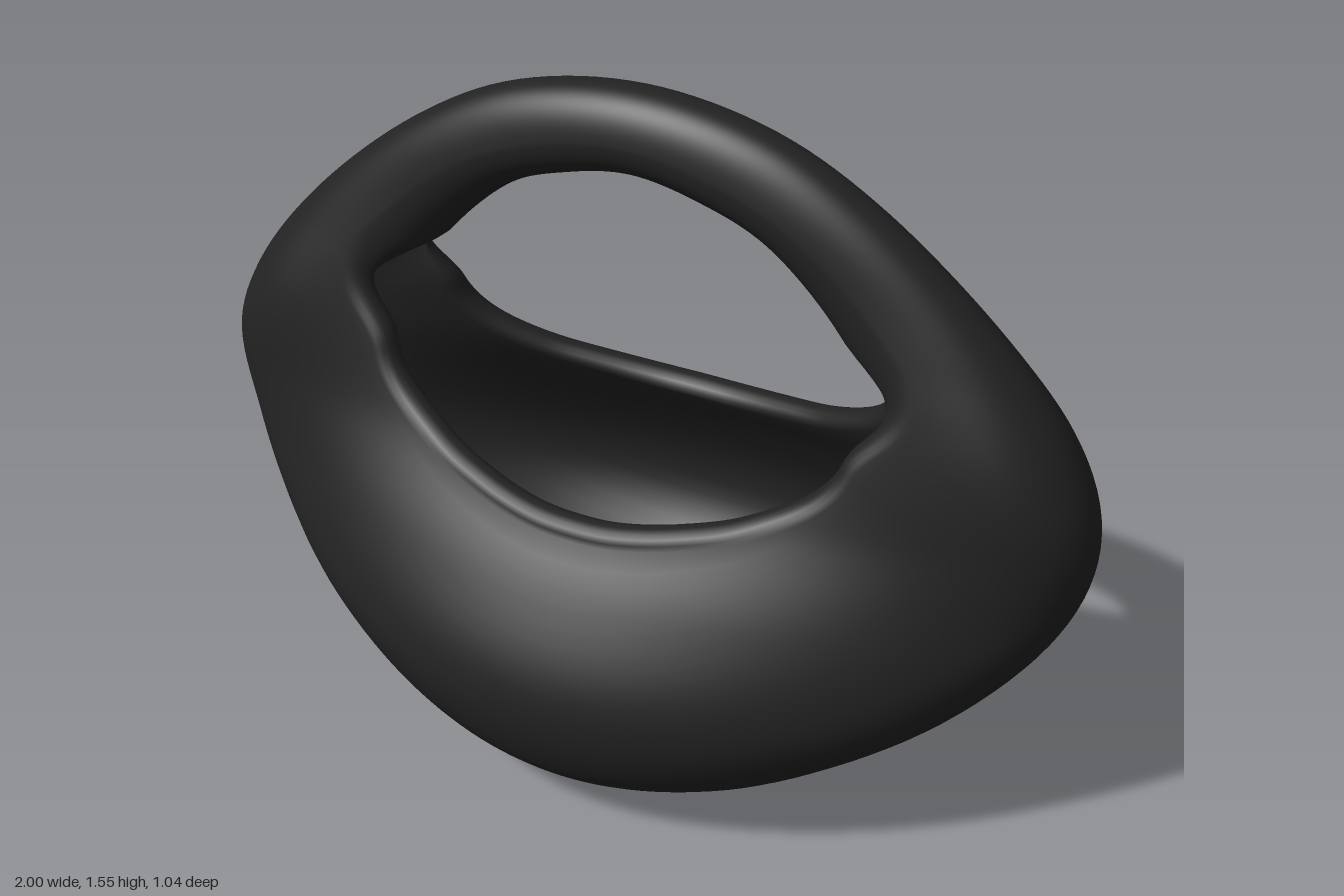
import * as THREE from 'three';

// Half outlines, top to bottom: outer rim and matching points on the opening
const OUTER = [[0, 1.55], [.28, 1.505], [.52, 1.38], [.76, 1.18], [.93, .97], [1, .76],
  [.94, .53], [.76, .3], [.5, .12], [.25, .03], [0, 0]];
const HOLE = [[0, 1.37], [.14, 1.345], [.28, 1.29], [.42, 1.165], [.505, 1.04], [.515, .93],
  [.46, .845], [.34, .78], [.22, .748], [.1, .729], [0, .725]];
// Half thickness at heights 0, 0.2 ... 1.6
const THICK = [.515, .52, .515, .41, .252, .158, .108, .09, .088];

function closedOutline(half) {
  const mirrored = half.slice(1, -1).reverse().map(([x, y]) => [-x, y]);
  const pts = [...half, ...mirrored].map(([x, y]) => new THREE.Vector3(x, y, 0));
  return new THREE.CatmullRomCurve3(pts, true, 'catmullrom', 0.5);
}

const thickness = new THREE.SplineCurve(THICK.map((v, i) => new THREE.Vector2(i * 0.2, v)));
const { lerp, smoothstep, clamp } = THREE.MathUtils;

// Half depth at a point; s runs from 0 at the opening to 1 at the outer rim
function halfDepth(p, s, power) {
  const g = thickness.getPoint(clamp(p.y / 1.6, 0, 1)).y;
  const x2 = p.x * p.x;
  const taper = lerp(1 - 0.85 * x2 + 0.2 * x2 * x2, 1, smoothstep(p.y, 0.6, 1.1));
  return g * taper * Math.sqrt(Math.max(0, 1 - Math.pow(s, power)));
}

// Half of a ring section: solid and rounded in the handle, a hollow pocket in the bowl
function sectionPoint(f, hole, outer) {
  const L = hole.distanceTo(outer);
  const handle = smoothstep(hole.y, 0.92, 1.14);
  const power = lerp(6, 3.5, handle);
  const depth = (s) => halfDepth(hole.clone().lerp(outer, s), s, power);
  const wall = 0.038;
  const lip = 0.035 / L;
  const floor = 1 - 0.07 / L;
  const grip = 0.45;
  let vessel, solid;
  if (f <= 0.5) {
    const c = Math.cos(f * Math.PI);
    const sv = lip + (1 - lip) * c;
    const sh = grip + (1 - grip) * c;
    vessel = [sv, depth(sv)];
    solid = [sh, depth(sh)];
  } else {
    const a = (f - 0.5) * Math.PI;
    solid = [grip * (1 - Math.sin(a)), depth(grip) * Math.cos(a)];
    if (f <= 0.65) {
      const b = (f - 0.5) / 0.15 * Math.PI;
      vessel = [lip * (1 - Math.sin(b)), depth(lip) - wall * (1 - Math.cos(b))];
    } else {
      const q = Math.sin((f - 0.65) / 0.35 * Math.PI / 2);
      const s = lip + (floor - lip) * q;
      const z = Math.max(0, depth(s) - 2 * wall);
      vessel = [s, z * Math.sqrt(Math.max(0, 1 - q ** 6))];
    }
  }
  const s = lerp(vessel[0], solid[0], handle);
  const p = hole.clone().lerp(outer, s);
  p.z = lerp(vessel[1], solid[1], handle);
  return p;
}

function ringGeometry(around = 160, half = 60) {
  const outerCurve = closedOutline(OUTER);
  const holeCurve = closedOutline(HOLE);
  const loop = half * 2;
  const pos = [];
  const index = [];
  for (let i = 0; i < around; i++) {
    const outer = outerCurve.getPoint(i / around);
    const hole = holeCurve.getPoint(i / around);
    for (let j = 0; j < loop; j++) {
      const back = j > half;
      const p = sectionPoint((back ? loop - j : j) / half, hole, outer);
      pos.push(p.x, p.y, back ? -p.z : p.z);
      const i2 = (i + 1) % around;
      const j2 = (j + 1) % loop;
      const a = i * loop + j, b = i * loop + j2, c = i2 * loop + j2, d = i2 * loop + j;
      index.push(a, b, c, a, c, d);
    }
  }
  const geo = new THREE.BufferGeometry();
  geo.setAttribute('position', new THREE.Float32BufferAttribute(pos, 3));
  geo.setIndex(index);
  geo.computeVertexNormals();
  return geo;
}

export function createModel() {
  const group = new THREE.Group();
  group.name = 'handledVessel';
  const material = new THREE.MeshStandardMaterial({ color: 0x222222 });
  const body = new THREE.Mesh(ringGeometry(), material);
  body.name = 'vesselBody';
  group.add(body);
  return group;
}
